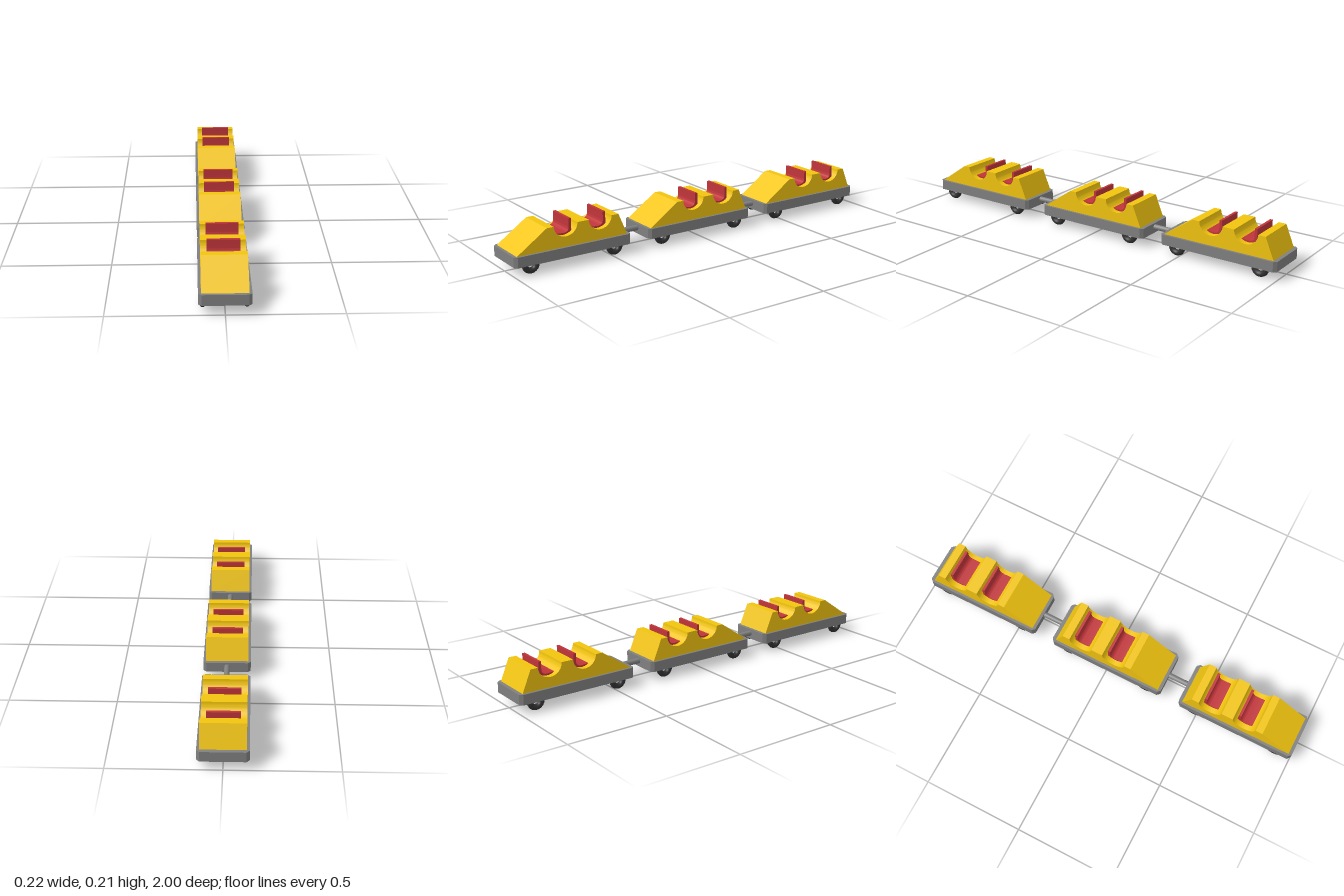
import * as THREE from 'three';
import { toCreasedNormals } from 'three/addons/utils/BufferGeometryUtils.js';

const material = (color) => new THREE.MeshStandardMaterial({ color });
const yellow = material(0xf1c40f);
const red = material(0xc0353a);
const grey = material(0x808080);
const dark = material(0x333333);

function addMesh(parent, name, geometry, mat, x = 0, y = 0, z = 0) {
  const mesh = new THREE.Mesh(geometry, mat);
  mesh.name = name;
  mesh.position.set(x, y, z);
  parent.add(mesh);
}

// Extrudes a side profile drawn in (z, y) across the width, centred on x = 0
function sideProfile(shape, width) {
  const geometry = new THREE.ExtrudeGeometry(shape, { depth: width, bevelEnabled: false, curveSegments: 16 });
  geometry.rotateY(-Math.PI / 2).translate(width / 2, 0, 0);
  return toCreasedNormals(geometry, 0.5);
}

const DECK_TOP = 0.092, BODY_TOP = 0.196;
const SCOOPS = [0.038, -0.141];

// Flat chassis with cut corners
function deckGeometry() {
  const w = 0.112, l = 0.3, c = 0.014;
  const shape = new THREE.Shape([
    [w, -l + c], [w, l - c], [w - c, l], [c - w, l],
    [-w, l - c], [-w, c - l], [c - w, -l], [w - c, -l],
  ].map(([x, y]) => new THREE.Vector2(x, y)));
  const geometry = new THREE.ExtrudeGeometry(shape, { depth: DECK_TOP - 0.043, bevelEnabled: false });
  return geometry.rotateX(-Math.PI / 2).translate(0, 0.043, 0);
}

// Wedge body with two round seat wells
function bodyGeometry() {
  const shape = new THREE.Shape();
  shape.moveTo(-0.282, DECK_TOP);
  shape.lineTo(0.285, DECK_TOP);
  shape.lineTo(0.133, BODY_TOP);
  for (const z of SCOOPS) {
    shape.lineTo(z + 0.06, BODY_TOP);
    shape.absellipse(z, BODY_TOP, 0.06, 0.056, 0, Math.PI, true);
  }
  shape.lineTo(-0.238, BODY_TOP);
  shape.closePath();
  return sideProfile(shape, 0.2);
}

// Seat with an upright back curving into the base
function seatGeometry() {
  const shape = new THREE.Shape();
  shape.moveTo(0.036, 0.142);
  shape.lineTo(0.036, 0.151);
  shape.lineTo(0, 0.148);
  shape.quadraticCurveTo(-0.028, 0.148, -0.029, 0.172);
  shape.lineTo(-0.029, 0.212);
  shape.lineTo(-0.042, 0.212);
  shape.lineTo(-0.042, 0.15);
  shape.lineTo(-0.028, 0.138);
  shape.lineTo(0.02, 0.138);
  shape.closePath();
  return sideProfile(shape, 0.146);
}

export function createModel() {
  const train = new THREE.Group();
  train.name = 'coasterTrain';
  const deck = deckGeometry(), body = bodyGeometry(), seat = seatGeometry();
  const wheel = new THREE.TorusGeometry(0.029, 0.014, 12, 28).rotateY(Math.PI / 2);
  const coupling = new THREE.CylinderGeometry(0.013, 0.013, 0.12, 16).rotateX(Math.PI / 2);

  for (const carZ of [0.7, 0, -0.7]) {
    const car = new THREE.Group();
    car.name = 'car';
    car.position.z = carZ;
    addMesh(car, 'deck', deck, grey);
    addMesh(car, 'body', body, yellow);
    for (const z of SCOOPS) addMesh(car, 'seat', seat, red, 0, 0, z);
    for (const side of [1, -1])
      for (const end of [1, -1])
        addMesh(car, side > 0 ? 'leftWheel' : 'rightWheel', wheel, dark, side * 0.093, 0.043, end * 0.216);
    train.add(car);
  }

  // Bars joining neighbouring cars
  for (const z of [0.35, -0.35]) addMesh(train, 'coupling', coupling, grey, 0, 0.072, z);
  return train;
}
